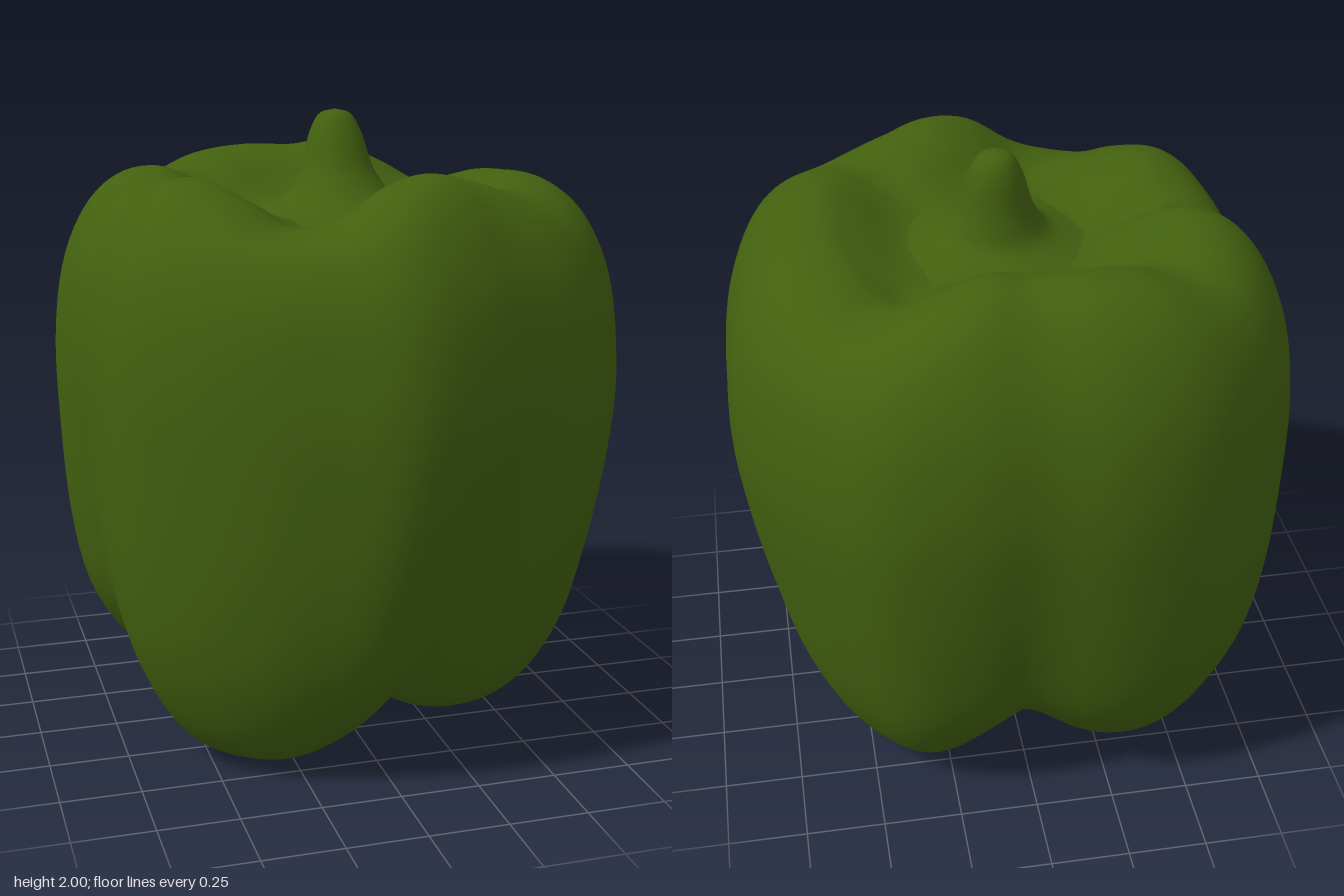
import * as THREE from 'three';

const TAU = Math.PI * 2, DEG = Math.PI / 180;
const { smoothstep } = THREE.MathUtils;
const spline = (pts, closed = false) => new THREE.CatmullRomCurve3(
  pts.map(([a, b, c = 0]) => new THREE.Vector3(a, b, c)), closed, 'catmullrom');

// Closed smooth surface from rings; point(t, angle) gives [x, y, z], angle 0 = front, rising towards +x
function ringSurface(rows, cols, point) {
  const pos = [], idx = [];
  for (let i = 0; i <= rows; i++) {
    for (let j = 0; j < cols; j++) {
      pos.push(...point(i / rows, (j / cols) * TAU));
      if (i === rows) continue;
      const k = (j + 1) % cols;
      const a = i * cols + j, b = i * cols + k, c = a + cols, d = b + cols;
      idx.push(a, b, d, a, d, c);
    }
  }
  const g = new THREE.BufferGeometry();
  g.setAttribute('position', new THREE.Float32BufferAttribute(pos, 3));
  g.setIndex(idx);
  g.computeVertexNormals();
  return g;
}

// Widest radius and rim height, every 15 degrees
const outline = spline([
  [0.895, 1.82], [0.87, 1.855], [0.85, 1.83], [0.89, 1.78], [0.915, 1.80], [0.885, 1.81],
  [0.865, 1.80], [0.885, 1.785], [0.895, 1.75], [0.91, 1.71], [0.94, 1.79], [0.905, 1.86],
  [0.87, 1.85], [0.92, 1.85], [0.95, 1.83], [0.945, 1.78], [0.94, 1.81], [0.90, 1.82],
  [0.84, 1.77], [0.845, 1.82], [0.885, 1.82], [0.87, 1.77], [0.855, 1.70], [0.855, 1.72],
], true);

// Profiles from bottom centre to top centre: radius factor, height, share of rim height
const crest = spline([
  [0, 0.2], [0.2, 0.15], [0.38, 0.04], [0.55, 0.0], [0.74, 0.09], [0.88, 0.33], [0.955, 0.65],
  [0.995, 1.0], [1, 1.25], [0.965, 1.5, 0.1], [0.88, 1.69, 0.4], [0.76, 1.8, 0.85],
  [0.62, 1.83, 1], [0.5, 1.79, 0.9], [0.39, 1.725, 0.4], [0.28, 1.69, 0.1], [0, 1.68],
]);
const groove = spline([
  [0, 0.2], [0.12, 0.2], [0.22, 0.19], [0.33, 0.19], [0.52, 0.23], [0.74, 0.4], [0.875, 0.7],
  [0.965, 1.0], [1, 1.25], [0.965, 1.5, 0.1], [0.87, 1.68, 0.4], [0.75, 1.79, 0.85],
  [0.61, 1.82, 1], [0.49, 1.78, 0.9], [0.39, 1.725, 0.4], [0.28, 1.69, 0.1], [0, 1.68],
]);

// Groove angles at the bottom and at the middle, groove depth on the side, and lift of each lobe
const lowGrooves = [10, 87, 174, 267], midGrooves = [25, 82, 176, 273];
const depths = [1, 0.35, 0.6, 0.6];
const lifts = [0.1, 0, 0.06, 0];

// Position across a lobe (0..1) and the lobe's number
function lobeAt(angle, h) {
  const cuts = lowGrooves.map((a, i) => (a + (midGrooves[i] - a) * h) * DEG);
  let n = 3;
  for (let i = 0; i < 4; i++) if (angle >= cuts[i]) n = i;
  const start = cuts[n], end = n < 3 ? cuts[n + 1] : cuts[0] + TAU;
  const a = angle < cuts[0] ? angle + TAU : angle;
  return [(a - start) / (end - start), n];
}

function bodyPoint(t, angle) {
  const o = outline.getPoint(angle / TAU);
  const c = crest.getPoint(t), g = groove.getPoint(t);
  const [u, n] = lobeAt(angle, smoothstep(t, 0.2, 0.5));
  const s = Math.sin(Math.PI * u);
  // Grooves fade by their own depth up the side
  const depth = 1 - (1 - depths[u < 0.5 ? n : (n + 1) % 4]) * smoothstep(t, 0.22, 0.36);
  const p = c.lerp(g, Math.pow(1 - s, 1.25) * depth);
  const low = smoothstep(t, 0, 0.18) * (1 - smoothstep(t, 0.2, 0.45));
  const r = p.x * o.x;
  const y = p.y + p.z * (o.y - 1.83) + lifts[n] * s * low;
  // The lower half leans slightly to one side
  const lean = -0.035 * (1 - smoothstep(p.y, 0.4, 1.2));
  return [r * Math.sin(angle) + lean, y, r * Math.cos(angle)];
}

// Stem: radius, height, z of the ring centre
const stemProfile = spline([
  [0.33, 1.675, 0.02], [0.24, 1.70, 0.015], [0.17, 1.735, 0.005], [0.125, 1.8, -0.015],
  [0.103, 1.86, -0.025], [0.082, 1.93, -0.035], [0.05, 1.985, -0.04], [0, 2.0, -0.04],
]);
function stemPoint(t, angle) {
  const p = stemProfile.getPoint(t);
  return [0.018 + p.x * Math.sin(angle), p.y, p.z + p.x * Math.cos(angle)];
}

export function createModel() {
  const green = new THREE.MeshStandardMaterial({ color: 0x42600f });
  green.name = 'pepper green';
  const group = new THREE.Group();
  group.name = 'bellPepper';
  const add = (name, geometry) => {
    const mesh = new THREE.Mesh(geometry, green);
    mesh.name = name;
    group.add(mesh);
  };
  add('body', ringSurface(80, 120, bodyPoint));
  add('stem', ringSurface(24, 32, stemPoint));
  return group;
}
